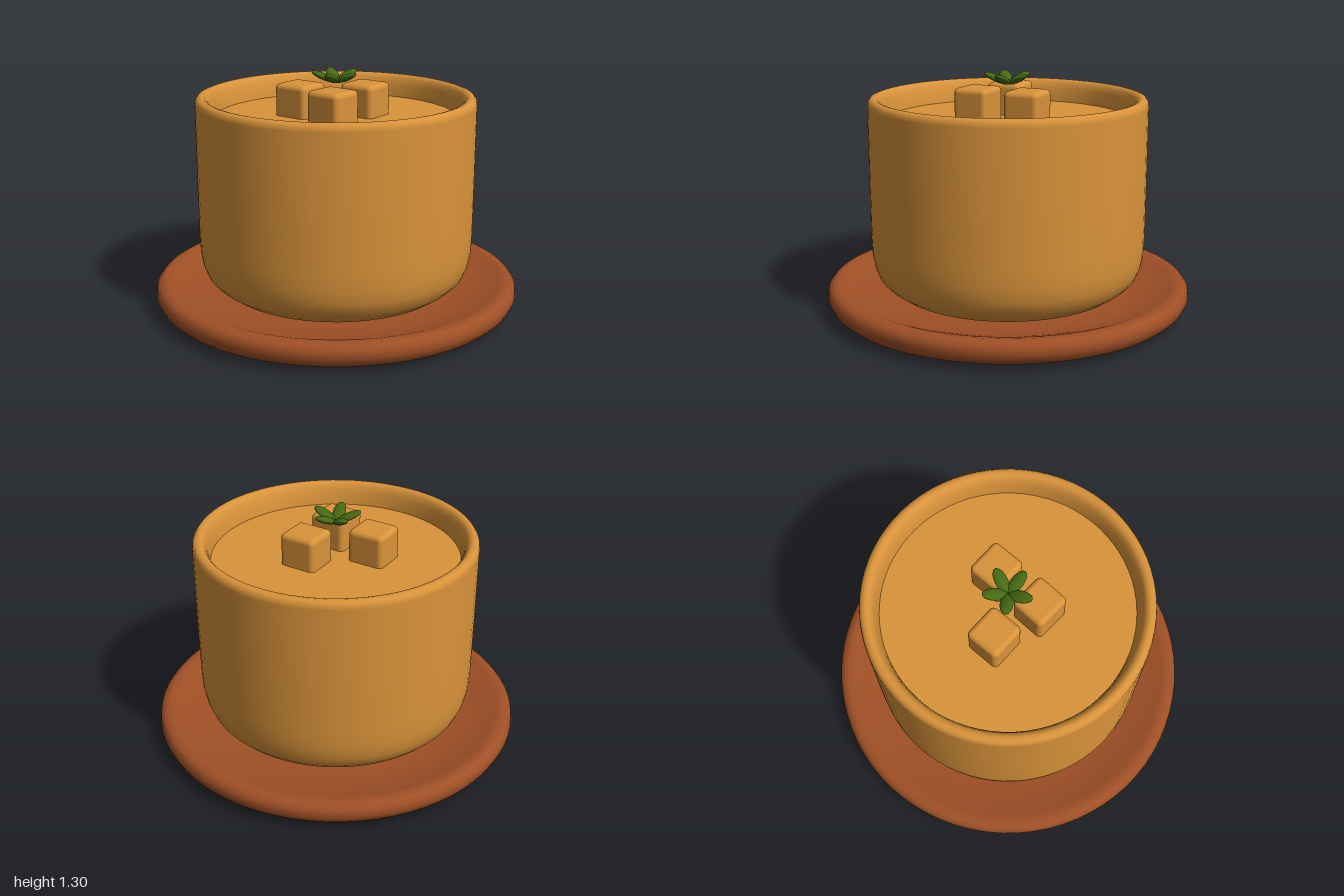
import * as THREE from 'three';
import { RoundedBoxGeometry } from 'three/addons/geometries/RoundedBoxGeometry.js';

function material(name, color) {
  const m = new THREE.MeshStandardMaterial({ color });
  m.name = name;
  return m;
}

// Surface of revolution through [radius, height] points, listed from the bottom outwards and up
function turned(points) {
  return new THREE.LatheGeometry(points.map(([r, y]) => new THREE.Vector2(r, y)), 72);
}

export function createModel() {
  const group = new THREE.Group();
  const amber = material('amber', 0xd9933a);
  const brown = material('terracotta brown', 0xa05026);
  const green = material('leaf green', 0x456a12);

  const add = (name, geometry, mat, parent = group) => {
    const mesh = new THREE.Mesh(geometry, mat);
    mesh.name = name;
    parent.add(mesh);
    return mesh;
  };

  // Shallow dished saucer
  add('saucer', turned([
    [0, 0], [0.6, 0], [0.68, 0.002], [0.85, 0.018], [0.965, 0.034], [0.985, 0.055],
    [1, 0.09], [0.995, 0.125], [0.975, 0.148], [0.945, 0.156], [0.91, 0.15],
    [0.84, 0.125], [0.74, 0.105], [0.64, 0.098], [0, 0.098],
  ]), brown);

  // Bowl wall with rounded foot and rim, open at the top
  add('bowl', turned([
    [0, 0.1], [0.55, 0.1], [0.62, 0.115], [0.68, 0.157], [0.715, 0.195], [0.737, 0.25],
    [0.749, 0.32], [0.753, 0.42], [0.754, 0.7], [0.754, 1.13], [0.75, 1.152],
    [0.738, 1.167], [0.72, 1.172], [0.702, 1.167], [0.688, 1.15], [0.676, 1.12],
    [0.664, 1.06], [0.655, 0.98],
  ]), amber);

  // Filling surface
  const filling = add('filling', new THREE.CircleGeometry(0.664, 72), amber);
  filling.rotation.x = -Math.PI / 2;
  filling.position.y = 1.045;

  // Three soft-edged cubes resting on the filling: x, z, turn
  const cubes = [[0.083, -0.153, 0.02], [0.087, 0.137, -0.02], [-0.186, 0.076, 0.02]];
  for (const [x, z, turn] of cubes) {
    const cube = add('cube', new RoundedBoxGeometry(0.205, 0.2, 0.195, 4, 0.028), amber);
    cube.position.set(x, 1.121, z);
    cube.rotation.y = turn;
  }

  // Sprig of five leaves fanning upward
  const sprig = new THREE.Group();
  sprig.name = 'leafSprig';
  sprig.position.y = 1.232;
  group.add(sprig);
  const leafShape = new THREE.SphereGeometry(1, 20, 12);
  leafShape.scale(0.071, 0.018, 0.034);
  leafShape.rotateZ(0.4);
  leafShape.translate(0.066, 0.032, 0);
  for (let i = 0; i < 5; i++) {
    add('leaf', leafShape, green, sprig).rotation.y = (i * Math.PI * 2) / 5;
  }

  return group;
}
